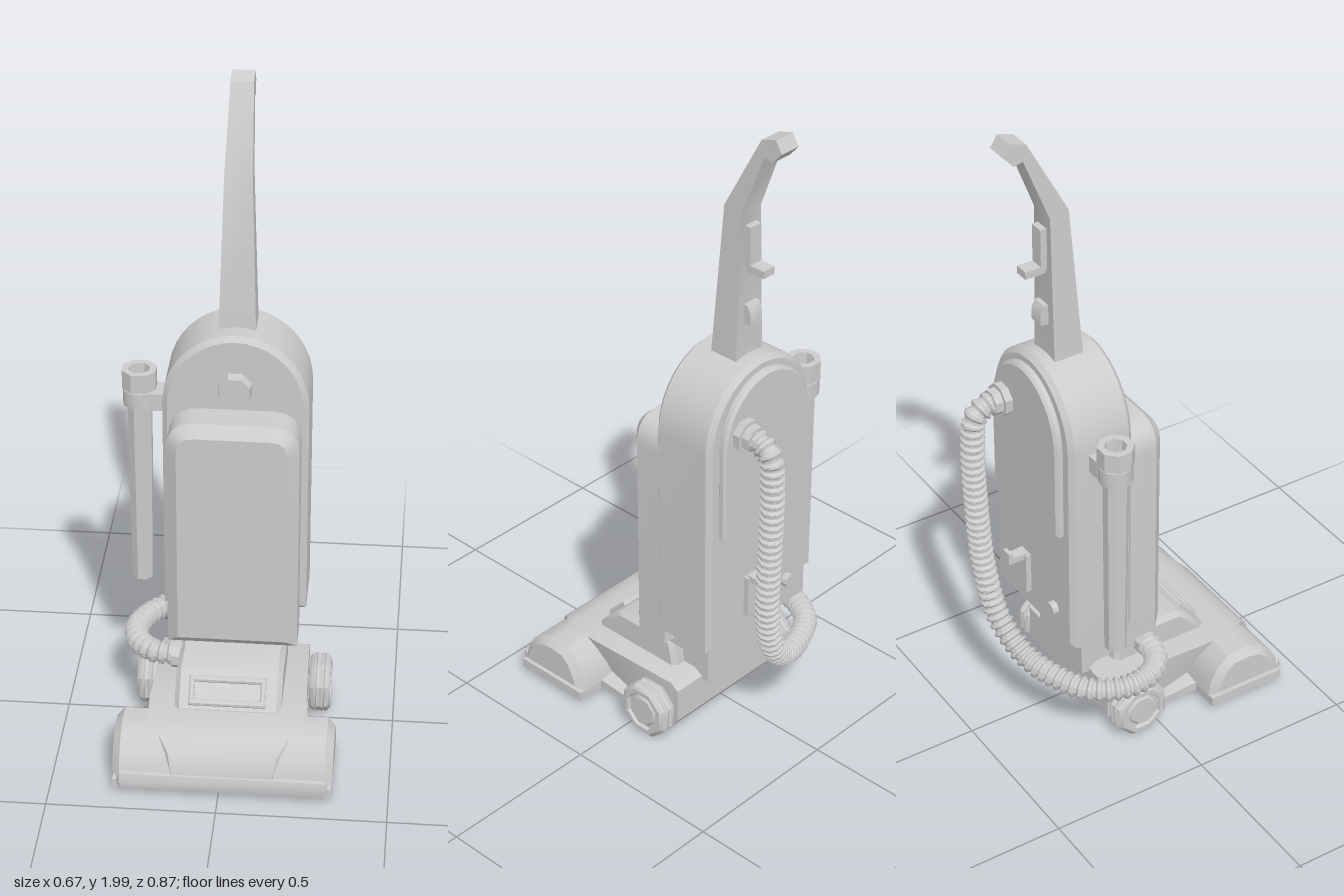
import * as THREE from 'three';
import { toCreasedNormals } from 'three/addons/utils/BufferGeometryUtils.js';

const CX = 0.01; // centre line of the machine

export function createModel() {
  const model = new THREE.Group();
  const mat = new THREE.MeshStandardMaterial({ color: 0xcccccc, side: THREE.DoubleSide });

  const add = (name, geo, x = 0, y = 0, z = 0, crease = 0.6) => {
    const mesh = new THREE.Mesh(toCreasedNormals(geo, crease), mat);
    mesh.name = name;
    mesh.position.set(x, y, z);
    model.add(mesh);
    return mesh;
  };
  const box = (name, x0, x1, y0, y1, z0, z1) =>
    add(name, new THREE.BoxGeometry(x1 - x0, y1 - y0, z1 - z0), (x0 + x1) / 2, (y0 + y1) / 2, (z0 + z1) / 2);

  // Extrusion from 0 to depth whose bevel stays inside the outline
  const slab = (shape, depth, bevel = 0, curveSegments = 6) => {
    const geo = new THREE.ExtrudeGeometry(shape, {
      depth: depth - 2 * bevel, curveSegments, bevelEnabled: bevel > 0,
      bevelThickness: bevel, bevelSize: bevel, bevelOffset: -bevel, bevelSegments: 1,
    });
    return geo.translate(0, 0, bevel);
  };
  // Side profile of [z, y] points extruded across x
  const side = (points, x0, x1, bevel = 0) => {
    const shape = new THREE.Shape(points.map(([z, y]) => new THREE.Vector2(-z, y)));
    return slab(shape, x1 - x0, bevel).rotateY(Math.PI / 2).translate(x0, 0, 0);
  };
  // Same, with the half width following the rule half(y, z)
  const taperedSide = (points, half) => {
    const geo = side(points, -1, 1);
    const p = geo.attributes.position;
    for (let i = 0; i < p.count; i++) p.setX(i, CX + p.getX(i) * half(p.getY(i), p.getZ(i)));
    return geo;
  };
  const rect = (Kind, x0, x1, y0, y1) => {
    const s = new Kind();
    s.moveTo(x0, y0).lineTo(x1, y0).lineTo(x1, y1).lineTo(x0, y1).closePath();
    return s;
  };
  // Upright outline with an elliptical top
  const arch = (half, y0, y1, rise) => {
    const s = new THREE.Shape();
    s.moveTo(CX - half, y0).lineTo(CX + half, y0).lineTo(CX + half, y1 - rise);
    s.absellipse(CX, y1 - rise, half, rise, 0, Math.PI, false, 0);
    return s;
  };
  // Cylinder along z or x
  const disc = (name, r0, r1, len, sides, axis, x, y, z) => {
    const geo = new THREE.CylinderGeometry(r1, r0, len, sides).rotateY(Math.PI / sides);
    if (axis === 'z') geo.rotateX(Math.PI / 2);
    if (axis === 'x') geo.rotateZ(-Math.PI / 2);
    return add(name, geo, x, y, z);
  };

  // Upright body, back panel and front bag cover
  add('body', slab(arch(0.215, 0.37, 1.29, 0.23), 0.21, 0.015, 10), 0, 0, -0.265);
  add('backPanel', slab(arch(0.177, 0.77, 1.26, 0.2), 0.03, 0.008, 10), 0, 0, -0.29);
  const cover = new THREE.Shape();
  cover.moveTo(-0.185, 0.3).lineTo(0.205, 0.3).lineTo(0.205, 0.965);
  cover.quadraticCurveTo(0.205, 1.055, 0.115, 1.055).lineTo(-0.095, 1.055);
  cover.quadraticCurveTo(-0.185, 1.055, -0.185, 0.965).closePath();
  add('bagCover', slab(cover, 0.17, 0.033), 0, 0, -0.1);
  add('lowerBody', side([[0, 0.3], [0, 0.4], [-0.235, 0.4], [-0.235, 0.35], [-0.18, 0.3]], -0.165, 0.185));
  box('neck', -0.11, 0.13, 0.17, 0.32, -0.175, -0.065);
  disc('frontKnob', 0.054, 0.048, 0.035, 8, 'z', CX, 1.125, -0.042);

  // Handle with switches
  add('handle', taperedSide([
    [-0.12, 1.26], [-0.155, 1.75], [-0.28, 1.985], [-0.33, 2], [-0.352, 1.965], [-0.32, 1.93],
    [-0.292, 1.937], [-0.215, 1.74], [-0.215, 1.26],
  ], (y) => 0.055 - 0.022 * THREE.MathUtils.clamp((y - 1.29) / 0.7, 0, 1)));
  box('upperSwitchPlate', -0.012, 0.032, 1.57, 1.7, -0.235, -0.205);
  box('upperHook', -0.012, 0.032, 1.56, 1.583, -0.285, -0.22);
  add('lowerSwitch', side([[-0.2, 1.39], [-0.24, 1.395], [-0.24, 1.435], [-0.228, 1.455], [-0.2, 1.455]], -0.014, 0.034));

  // Cord hook and button on the back
  box('hookPlate', 0.025, 0.075, 0.44, 0.575, -0.282, -0.255);
  box('hookArm', 0.033, 0.067, 0.56, 0.58, -0.33, -0.27);
  box('hookTip', 0.033, 0.067, 0.56, 0.597, -0.335, -0.322);
  disc('backButton', 0.022, 0.022, 0.025, 10, 'z', -0.11, 0.47, -0.272);

  // Storage wand: hollow octagonal tube, collar and clip
  const wand = [[0.023, 0.4], [0.033, 0.4], [0.039, 1.055], [0.054, 1.06], [0.054, 1.12], [0.033, 1.12], [0.027, 1.04], [0.023, 0.4]];
  add('wand', new THREE.LatheGeometry(wand.map(([r, y]) => new THREE.Vector2(r, y)), 8).rotateY(Math.PI / 8), -0.282, 0, -0.165);
  box('wandClip', -0.25, -0.19, 1.0, 1.055, -0.205, -0.125);
  const clip = new THREE.Shape().absarc(0, 0, 0.05, 0, Math.PI * 2);
  clip.holes.push(new THREE.Path().absarc(0, 0, 0.034, 0, Math.PI * 2));
  add('wandClipRing', slab(clip, 0.05).rotateX(Math.PI / 2), -0.282, 1.055, -0.165);

  // Ribbed hose from the back of the body round to the side of the hood
  const path = new THREE.CatmullRomCurve3([
    [0.11, 1.1, -0.29], [0.11, 1.1, -0.34], [0.11, 1.07, -0.388], [0.11, 0.98, -0.4], [0.11, 0.75, -0.395],
    [0.1, 0.52, -0.38], [0.055, 0.36, -0.362], [-0.04, 0.265, -0.33], [-0.16, 0.238, -0.285],
    [-0.25, 0.232, -0.225], [-0.296, 0.235, -0.13], [-0.285, 0.238, -0.045], [-0.23, 0.24, 0.012], [-0.13, 0.24, 0.025],
  ].map((p) => new THREE.Vector3(...p)));
  const ribs = 62, steps = 4, sides = 10;
  const hose = new THREE.TubeGeometry(path, ribs * steps, 1, sides);
  const hp = hose.attributes.position, v = new THREE.Vector3();
  for (let i = 0; i < hp.count; i++) {
    const ring = Math.floor(i / (sides + 1));
    const centre = path.getPointAt(ring / (ribs * steps));
    v.fromBufferAttribute(hp, i).sub(centre).multiplyScalar(ring % steps < 2 ? 0.037 : 0.029).add(centre);
    hp.setXYZ(i, v.x, v.y, v.z);
  }
  add('hose', hose);
  disc('hoseNut', 0.052, 0.05, 0.025, 8, 'z', 0.11, 1.1, -0.302);
  disc('hoseSleeve', 0.04, 0.04, 0.04, 8, 'z', 0.11, 1.1, -0.32);
  disc('hosePort', 0.04, 0.04, 0.05, 8, 'x', -0.15, 0.24, 0.025);

  // Floor head: rounded brush housing, deck and bumper
  add('brushHousing', side([
    [0.422, 0.055], [0.415, 0.09], [0.39, 0.14], [0.35, 0.178], [0.3, 0.19], [0.235, 0.186],
    [0.2, 0.155], [0.175, 0.11], [0.165, 0.055],
  ], -0.315, 0.335, 0.022));
  add('deck', taperedSide([
    [0.424, 0.06], [0.42, 0.095], [0.397, 0.145], [0.355, 0.184], [0.31, 0.196], [0.2, 0.198], [-0.12, 0.198],
    [-0.15, 0.18], [-0.15, 0.07], [-0.12, 0.03], [0.17, 0.03], [0.17, 0.06],
  ], (y, z) => (z > 0.3 ? 0.235 - 0.085 * Math.min(1, (z - 0.3) / 0.11) : z > 0.15 ? 0.235 : 0.225)));
  add('bumper', side([[0.4, 0.032], [0.43, 0.035], [0.435, 0.06], [0.428, 0.085], [0.4, 0.088]], -0.3, 0.32, 0.01));

  // Hood with a framed window on its sloping front
  add('hood', side([
    [0.25, 0.18], [0.247, 0.2], [0.17, 0.28], [0.15, 0.288], [-0.05, 0.288], [-0.065, 0.275], [-0.08, 0.18],
  ], -0.147, 0.172, 0.015));
  const frame = rect(THREE.Shape, -0.115, 0.115, -0.045, 0.045);
  frame.holes.push(rect(THREE.Path, -0.098, 0.098, -0.026, 0.026));
  add('windowFrame', slab(frame, 0.02, 0.005), CX, 0.236, 0.204).rotation.x = -0.77;

  // Underside: three open brush bays and a rear plate
  const sole = rect(THREE.Shape, -0.313, 0.333, 0.167, 0.42);
  const bays = [-0.19, 0.01, 0.21];
  bays.forEach((x) => sole.holes.push(rect(THREE.Path, x - 0.09, x + 0.09, 0.22, 0.37)));
  add('sole', slab(sole, 0.03).rotateX(Math.PI / 2), 0, 0.058, 0);
  const rear = rect(THREE.Shape, -0.14, 0.16, -0.09, 0.14);
  rear.holes.push(rect(THREE.Path, -0.11, 0.13, -0.06, 0.11));
  add('rearFrame', slab(rear, 0.015).rotateX(Math.PI / 2), 0, 0.033, 0);
  bays.forEach((x) => {
    disc('brushRoller', 0.018, 0.018, 0.17, 8, 'x', x, 0.055, 0.295);
    for (let i = 0; i < 10; i++) {
      const z = 0.295 + (i % 2 ? 0.03 : -0.03) + 0.012 * Math.sin(i * 1.3);
      disc('bristleTuft', 0.006, 0.01, 0.025, 6, 'y', x - 0.076 + i * 0.017, 0.045, z);
    }
  });

  // Rear wheels with ribbed tyres
  const tyre = [
    [0, 0.018], [0.045, 0.018], [0.052, 0.01], [0.06, 0.01], [0.064, 0], [0.078, 0], [0.088, 0.008],
    [0.092, 0.016], [0.088, 0.02], [0.093, 0.024], [0.089, 0.032], [0.093, 0.04], [0.088, 0.045],
    [0.092, 0.049], [0.088, 0.057], [0.078, 0.065], [0.064, 0.065], [0.06, 0.056], [0.052, 0.056], [0.045, 0.062], [0, 0.062],
  ].map(([r, y]) => new THREE.Vector2(r, y));
  for (const s of [-1, 1]) {
    const geo = new THREE.LatheGeometry(tyre, 8).rotateY(Math.PI / 8).rotateZ(-s * Math.PI / 2);
    add('rearWheel', geo, CX + s * 0.231, 0.1, -0.067);
    disc('wheelAxle', 0.02, 0.02, 0.06, 8, 'x', CX + s * 0.225, 0.1, -0.067);
  }
  return model;
}
